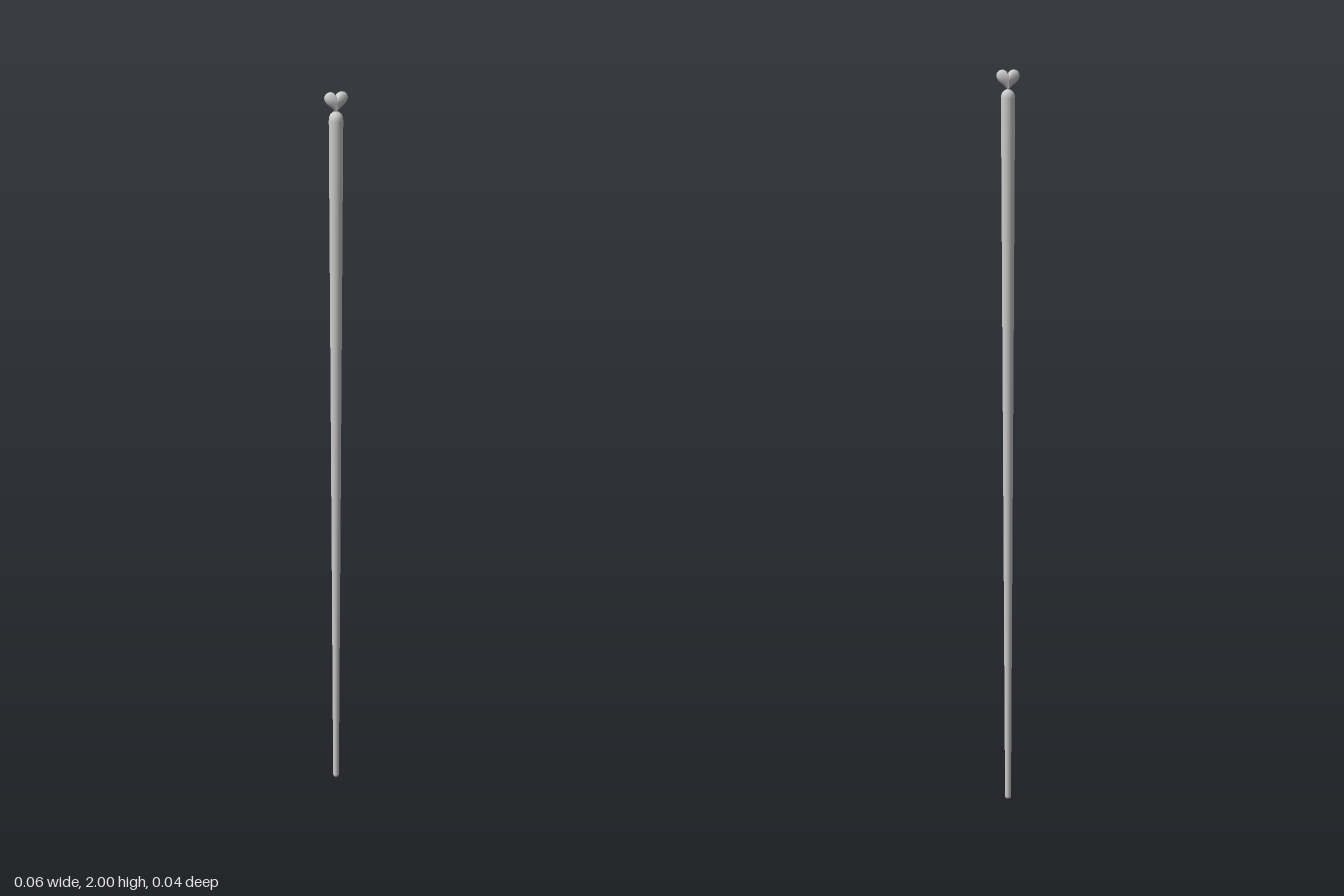
import * as THREE from 'three';
import { mergeVertices } from 'three/addons/utils/BufferGeometryUtils.js';

const material = new THREE.MeshStandardMaterial({ color: 0xcccccc });

// Puffed heart: a sphere whose rings follow a heart curve
function heartGeometry(halfWidth, height, halfDepth) {
  let g = new THREE.SphereGeometry(1, 40, 20).rotateX(Math.PI / 2);
  const p = g.attributes.position;
  for (let i = 0; i < p.count; i++) {
    const t = Math.atan2(p.getX(i), p.getY(i));
    const r = Math.hypot(p.getX(i), p.getY(i));
    const hx = Math.sin(t) ** 3;
    const hy = (13 * Math.cos(t) - 5 * Math.cos(2 * t) - 2 * Math.cos(3 * t) - Math.cos(4 * t)) / 29;
    p.setXYZ(i, r * hx * halfWidth, r * hy * height, p.getZ(i) * halfDepth);
  }
  g.deleteAttribute('uv');
  g.deleteAttribute('normal');
  g = mergeVertices(g, 1e-6);
  g.computeVertexNormals();
  return g;
}

export function createModel() {
  const group = new THREE.Group();
  group.name = 'heartWand';

  // Long tapered shaft with a small rounded foot and a domed top
  const profile = [
    [0, 0], [0.006, 0], [0.0078, 0.003], [0.0083, 0.008],
    [0.0185, 1.925], [0.0178, 1.934], [0.015, 1.941], [0.009, 1.947], [0.004, 1.949], [0, 1.95],
  ].map(([x, y]) => new THREE.Vector2(x, y));
  const shaft = new THREE.Mesh(new THREE.LatheGeometry(profile, 32), material);
  shaft.name = 'shaft';
  group.add(shaft);

  // Heart standing on its point
  const height = 0.056;
  const heart = new THREE.Mesh(heartGeometry(0.031, height, 0.0145), material);
  heart.name = 'heart';
  heart.geometry.computeBoundingBox();
  heart.position.y = 2 - heart.geometry.boundingBox.max.y;
  group.add(heart);

  return group;
}
